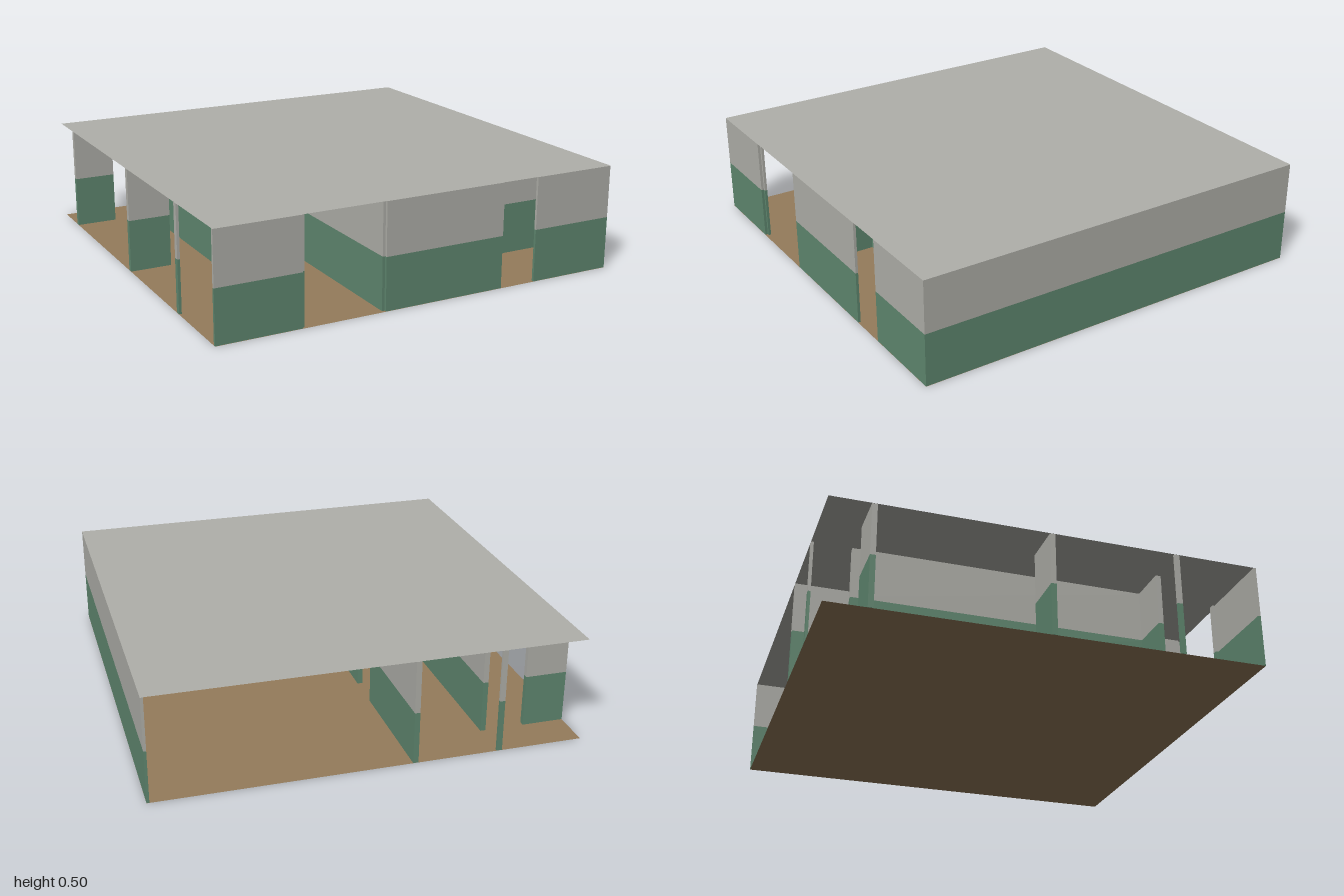
import * as THREE from 'three';

const H = 0.5, T = 0.0125; // storey height, half wall thickness

export function createModel() {
  const model = new THREE.Group();
  const mat = (name, color, extra = {}) => {
    const m = new THREE.MeshStandardMaterial({ color, ...extra });
    m.name = name;
    return m;
  };
  const plaster = mat('grey plaster', 0xb0b0aa, { side: THREE.DoubleSide });
  const green = mat('green wall paint', 0x608870);
  const tan = mat('tan floor', 0x957c5b, { side: THREE.DoubleSide });

  // Floor and roof are thin sheets
  const slab = (name, y, material) => {
    const m = new THREE.Mesh(new THREE.PlaneGeometry(2, 2).rotateX(-Math.PI / 2), material);
    m.name = name;
    m.position.y = y;
    model.add(m);
  };
  slab('floor', 0, tan);
  slab('roof', H, plaster);

  // A wall is a green lower band with a grey band above it
  const wall = (name, x0, x1, z0, z1) => {
    const g = new THREE.Group();
    g.name = name;
    [['lowerBand', 0.001, H / 2, green], ['upperBand', H / 2, H - 0.001, plaster]].forEach(([n, y0, y1, m]) => {
      const b = new THREE.Mesh(new THREE.BoxGeometry(x1 - x0, y1 - y0, z1 - z0), m);
      b.name = n;
      b.position.set((x0 + x1) / 2, (y0 + y1) / 2, (z0 + z1) / 2);
      g.add(b);
    });
    model.add(g);
  };
  const alongX = (name, z, x0, x1) => wall(name, x0, x1, z - T, z + T);
  const alongZ = (name, x, z0, z1) => wall(name, x - T, x + T, z0, z1);

  // Front wall in three stretches, with the corridor mouth and a doorway between
  [[-1, -0.6], [-0.2, 0.405], [0.5875, 1]].forEach(([a, b]) => wall('frontWall', a, b, 1 - T, 1));

  // Solid wall on the left side
  wall('leftWall', 1 - T, 1, -1, 1 - T);

  // Corridor wall beside the large room, with a doorway
  [[-1, -0.3875], [-0.2, 1 - T]].forEach(([a, b]) => alongZ('roomCorridorWall', -0.2, a, b));

  // Corridor wall beside the small rooms, with a doorway near the back
  [[-1, -1 + T], [-0.8125, 0.6125], [0.9875 - T, 1 - T]].forEach(([a, b]) => alongZ('sideCorridorWall', -0.6, a, b));

  // Partition behind the front room
  alongX('frontRoomPartition', 0.6, -0.2 + T, 1);

  // Short partitions of the small rooms, each leaving a doorway
  alongX('backPartition', -0.8, -1, -0.8);
  alongX('middlePartition', 0, -1, -0.8);
  alongX('frontPartition', 0.6, -0.8, -0.6 - T);
  alongX('frontPartitionJamb', 0.6, -1, -1 + T);

  return model;
}
